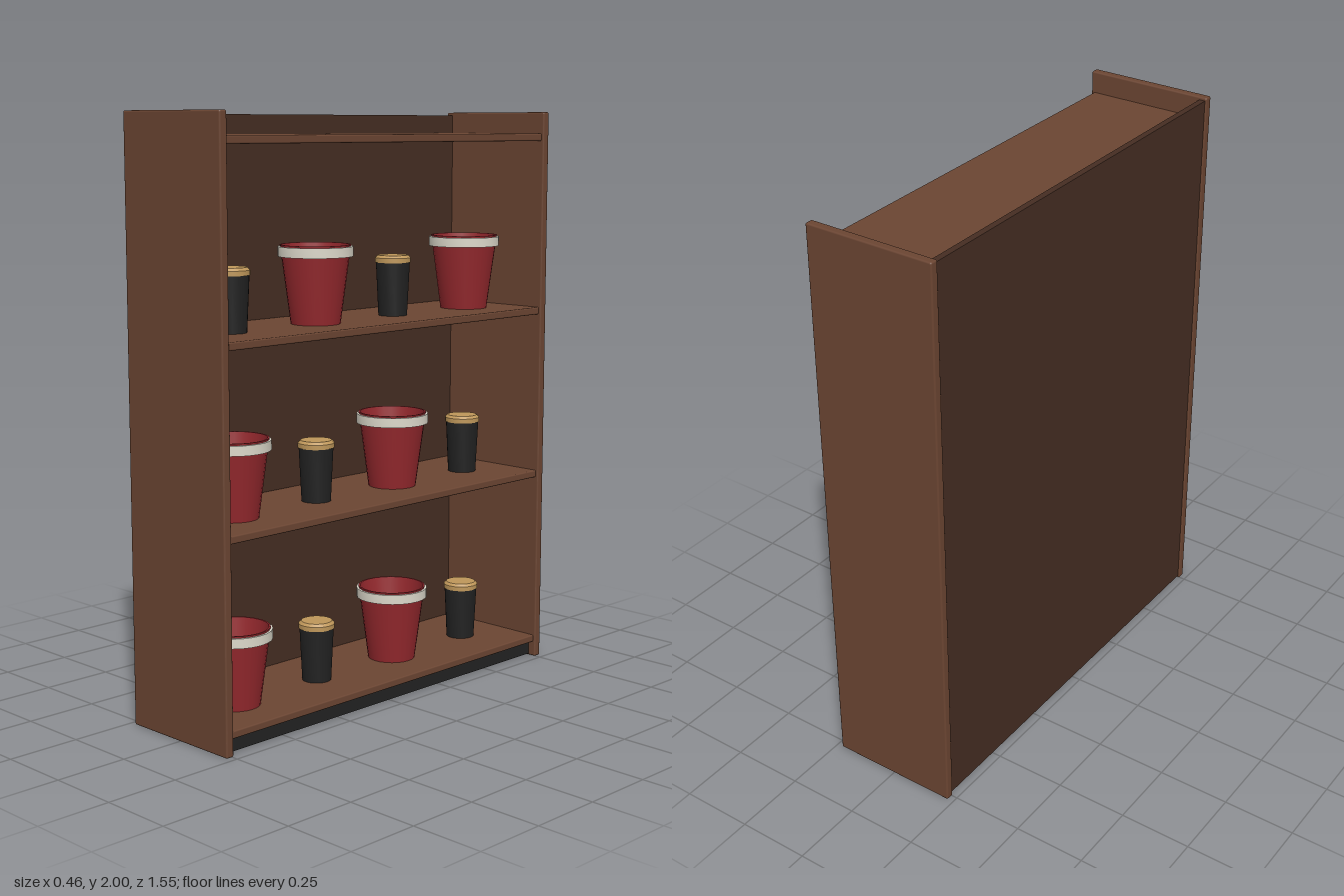
import * as THREE from 'three';
import { toCreasedNormals } from 'three/addons/utils/BufferGeometryUtils.js';
import { RoundedBoxGeometry } from 'three/addons/geometries/RoundedBoxGeometry.js';

const material = (name, color) => {
  const m = new THREE.MeshStandardMaterial({ color });
  m.name = name;
  return m;
};

// Solid of revolution with sharp edges, profile listed as [radius, height]
const turned = (points, sides) => toCreasedNormals(
  new THREE.LatheGeometry(points.map(([r, y]) => new THREE.Vector2(r, y)), sides), 0.6);

export function createModel() {
  const wood = material('wood', 0x6b4532);
  const darkWood = material('dark wood', 0x452d22);
  const black = material('black', 0x222222);
  const red = material('red', 0x94282d);
  const cream = material('cream', 0xdcd8ca);
  const gold = material('gold', 0xbf975a);

  const model = new THREE.Group();
  model.name = 'displayShelf';

  const add = (parent, name, geometry, mat, x = 0, y = 0, z = 0) => {
    const mesh = new THREE.Mesh(geometry, mat);
    mesh.name = name;
    mesh.position.set(x, y, z);
    parent.add(mesh);
  };

  // Side panels
  for (const s of [-1, 1]) {
    add(model, s > 0 ? 'frontEndPanel' : 'backEndPanel',
      new RoundedBoxGeometry(0.46, 2, 0.03, 2, 0.006), wood, 0, 1, s * 0.76);
  }

  // Back panel and plinth
  add(model, 'backPanel', new THREE.BoxGeometry(0.022, 1.98, 1.5), darkWood, -0.213, 1, 0);
  add(model, 'plinth', new THREE.BoxGeometry(0.41, 0.05, 1.5), black, -0.005, 0.03, 0);

  // Boards, given by the height of their upper face
  const shelfTops = [0.08, 0.705, 1.305];
  for (const top of [...shelfTops, 1.925]) {
    add(model, 'shelfBoard', new RoundedBoxGeometry(0.422, 0.026, 1.5, 2, 0.005), wood,
      0.009, top - 0.013, 0);
  }

  // Open bucket with a pale band below the lip
  const bucketBody = turned([[0, 0], [0.083, 0], [0.118, 0.262], [0.112, 0.262], [0.078, 0.008], [0, 0.008]], 24);
  const bucketBand = turned([[0.112, 0.223], [0.125, 0.223], [0.125, 0.256], [0.115, 0.256]], 24);
  const makeBucket = () => {
    const g = new THREE.Group();
    g.name = 'bucket';
    add(g, 'bucketBody', bucketBody, red);
    add(g, 'bucketBand', bucketBand, cream);
    return g;
  };

  // Dark cup with a stepped lid
  const cupBody = turned([[0, 0], [0.05, 0], [0.059, 0.184], [0, 0.184]], 20);
  const cupLid = turned([[0, 0.183], [0.062, 0.183], [0.062, 0.199], [0.053, 0.208], [0, 0.208]], 20);
  const makeCup = () => {
    const g = new THREE.Group();
    g.name = 'cup';
    add(g, 'cupBody', cupBody, black);
    add(g, 'cupLid', cupLid, gold);
    return g;
  };

  // Alternate buckets and cups, the top row shifted by one place
  shelfTops.forEach((top, row) => {
    for (let i = 0; i < 4; i++) {
      const item = (i + (row === 2 ? 1 : 0)) % 2 === 0 ? makeBucket() : makeCup();
      item.position.set(0.025, top, 0.557 - i * 0.371);
      model.add(item);
    }
  });

  return model;
}
